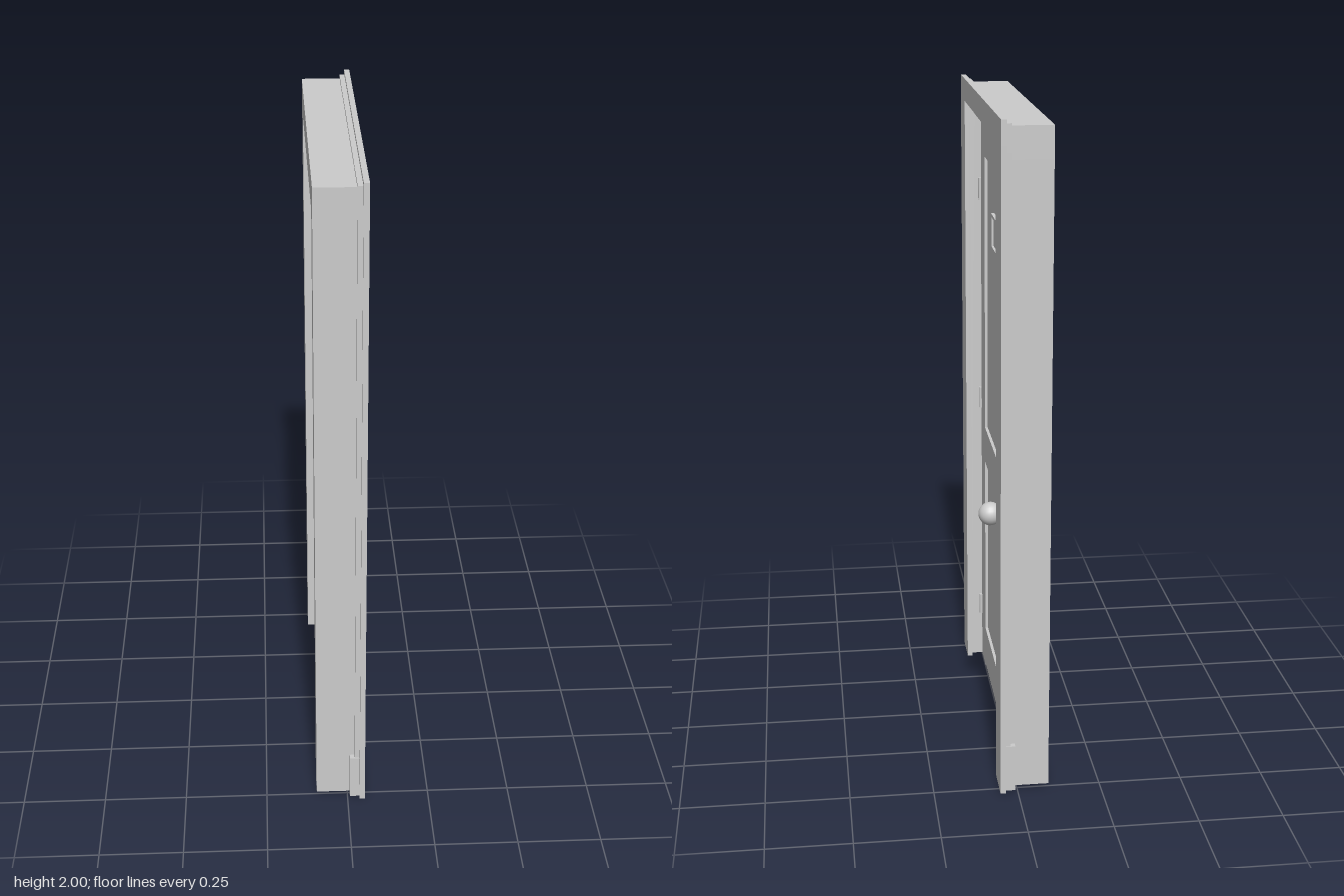
import * as THREE from 'three';

const grey = new THREE.MeshStandardMaterial({ color: 0xcccccc });

export function createModel() {
  const root = new THREE.Group();

  function add(name, geometry, parent = root) {
    const mesh = new THREE.Mesh(geometry, grey);
    mesh.name = name;
    parent.add(mesh);
    return mesh;
  }
  // Box given by its lower and upper limits on each axis
  function box(name, x0, x1, y0, y1, z0, z1, parent) {
    const mesh = add(name, new THREE.BoxGeometry(x1 - x0, y1 - y0, z1 - z0), parent);
    mesh.position.set((x0 + x1) / 2, (y0 + y1) / 2, (z0 + z1) / 2);
    return mesh;
  }
  // Round part turned about the x axis from [radius, x] points
  function turned(name, points, y, z, parent) {
    const profile = points.map(([r, x]) => new THREE.Vector2(r, x));
    const geometry = new THREE.LatheGeometry(profile, 24);
    geometry.rotateZ(-Math.PI / 2);
    const mesh = add(name, geometry, parent);
    mesh.position.set(0, y, z);
    return mesh;
  }
  // Three-sided surround: two legs and a head
  function surround(name, x0, x1, y0, top, outer, inner, headBottom) {
    const group = new THREE.Group();
    group.name = name;
    root.add(group);
    for (const s of [-1, 1]) {
      const a = s * inner, b = s * outer;
      box(name + 'Leg', x0, x1, y0, headBottom, Math.min(a, b), Math.max(a, b), group);
    }
    box(name + 'Head', x0, x1, headBottom, top, -outer, outer, group);
  }

  // Deep jamb, stepped backing trim and flat front casing
  surround('jamb', -0.095, 0.022, 0.01, 1.98, 0.503, 0.417, 1.89);
  surround('backTrim', 0.022, 0.037, 0.01, 1.988, 0.518, 0.415, 1.91);
  surround('casing', 0.037, 0.053, 0, 2, 0.53, 0.413, 1.93);
  for (const s of [-1, 1]) {
    const z = s * 0.509;
    box('plinthBlock', 0.007, 0.04, 0.004, 0.15, z - 0.012, z + 0.012);
  }

  // Door leaf: recessed panel with stiles and rails
  const door = new THREE.Group();
  door.name = 'door';
  root.add(door);
  const front = 0.002, back = -0.035, panel = -0.007;
  box('doorPanel', back, panel, 0.012, 1.888, -0.413, 0.413, door);
  for (const s of [-1, 1]) {
    const z = s * 0.361;
    box('stile', panel, front, 0.012, 1.888, z - 0.05, z + 0.05, door);
  }
  for (const [y0, y1] of [[0.02, 0.152], [0.755, 0.875], [1.77, 1.885]]) {
    box('rail', panel, front, y0, y1, -0.311, 0.311, door);
  }

  // Name plate with a raised border
  const plate = new THREE.Group();
  plate.name = 'namePlate';
  door.add(plate);
  box('plateBack', panel, panel + 0.003, 1.52, 1.62, -0.12, 0.12, plate);
  for (const y of [1.515, 1.615]) box('plateBorder', panel, panel + 0.01, y, y + 0.01, -0.127, 0.127, plate);
  for (const z of [-0.127, 0.117]) box('plateBorder', panel, panel + 0.01, 1.525, 1.615, z, z + 0.01, plate);

  // Hinges and strike plate in the side gaps
  for (const y of [0.2, 0.95, 1.65]) {
    const hinge = add('hinge', new THREE.CylinderGeometry(0.006, 0.006, 0.07, 10), door);
    hinge.position.set(front + 0.003, y, 0.411);
  }
  box('strikePlate', -0.01, 0.012, 0.89, 1.03, -0.418, -0.411, door);

  // Knob: short stem and ball
  const lockZ = -0.333;
  const knob = [[0.014, front], [0.014, 0.012], [0.009, 0.016], [0.009, 0.026]];
  for (let i = 1; i <= 14; i++) {
    const a = 0.25 + (Math.PI - 0.25) * (i / 14);
    knob.push([Math.max(0, 0.035 * Math.sin(a)), 0.06 - 0.035 * Math.cos(a)]);
  }
  turned('knob', knob, 0.82, lockZ, door);

  // Rosette with raised hub
  turned('rosette', [[0.034, front], [0.034, 0.005], [0.029, 0.008], [0.016, 0.008],
    [0.014, 0.016], [0.009, 0.018], [0, 0.018]], 0.89, lockZ, door);
  // Upper lock cylinder with key slot
  turned('lockCylinder', [[0.019, front], [0.019, 0.009], [0.015, 0.014], [0, 0.014]], 1.04, lockZ, door);
  box('keySlot', 0.013, 0.0155, 1.03, 1.05, lockZ - 0.002, lockZ + 0.002, door);
  // Small keyhole below the knob
  turned('keyhole', [[0.007, front], [0.007, 0.004], [0, 0.004]], 0.74, lockZ, door);
  box('keyholeSlot', front, 0.004, 0.722, 0.738, lockZ - 0.003, lockZ + 0.003, door);

  return root;
}
